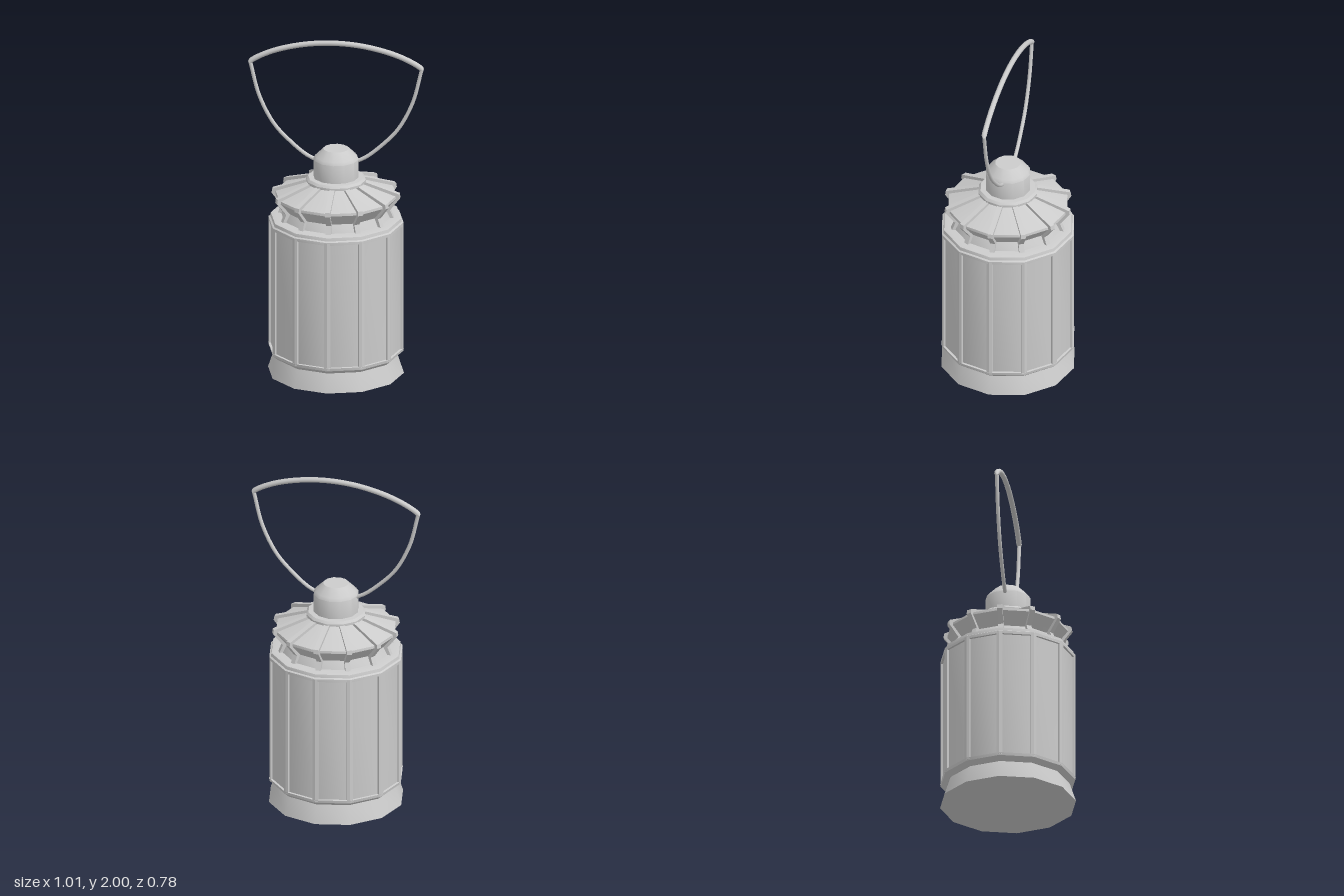
import * as THREE from 'three';
import { toCreasedNormals } from 'three/addons/utils/BufferGeometryUtils.js';

const SIDES = 12;
const material = new THREE.MeshStandardMaterial({ color: 0xcccccc });

const vec2 = (pairs) => pairs.map(([x, y]) => new THREE.Vector2(x, y));

function addMesh(parent, name, geometry) {
  const mesh = new THREE.Mesh(geometry, material);
  mesh.name = name;
  parent.add(mesh);
  return mesh;
}

// Twelve-sided turned part from [radius, height] pairs, bottom to top
function turned(parent, name, profile) {
  const geometry = new THREE.LatheGeometry(vec2(profile), SIDES);
  return addMesh(parent, name, toCreasedNormals(geometry, 0.6));
}

// Copies of one geometry around the twelve corners
function aroundCorners(parent, name, geometry) {
  const ring = new THREE.Group();
  ring.name = name + 's';
  for (let i = 0; i < SIDES; i++) {
    addMesh(ring, name, geometry).rotation.y = (i / SIDES) * Math.PI * 2;
  }
  parent.add(ring);
}

// Round rod along a path, its radius set by a function of 0..1
function rod(parent, name, points, radiusAt, steps) {
  const curve = new THREE.CatmullRomCurve3(points.map(([x, y]) => new THREE.Vector3(x, y, 0)));
  const around = 10;
  const geometry = new THREE.TubeGeometry(curve, steps, 1, around);
  const position = geometry.attributes.position;
  const v = new THREE.Vector3();
  for (let i = 0; i <= steps; i++) {
    const centre = curve.getPointAt(i / steps);
    for (let j = 0; j <= around; j++) {
      const k = i * (around + 1) + j;
      v.fromBufferAttribute(position, k).sub(centre).multiplyScalar(radiusAt(i / steps)).add(centre);
      position.setXYZ(k, v.x, v.y, v.z);
    }
  }
  return addMesh(parent, name, geometry);
}

export function createModel() {
  const lantern = new THREE.Group();
  lantern.name = 'lantern';

  // Flared foot and lower rim
  turned(lantern, 'base', [[0, 0], [0.39, 0], [0.352, 0.115], [0.3, 0.115]]);
  turned(lantern, 'lowerRim', [[0.34, 0.11], [0.358, 0.11], [0.386, 0.133], [0.389, 0.15], [0.365, 0.152]]);

  // Recessed panels with a bar at each corner
  turned(lantern, 'panels', [[0.376, 0.14], [0.376, 0.91]]);
  const fold = 0.017 * Math.tan(Math.PI / SIDES);
  const barShape = new THREE.Shape(vec2([
    [0, -0.388], [0.017, -0.388 + fold], [0.017, -0.355], [-0.017, -0.355], [-0.017, -0.388 + fold],
  ]));
  const bar = new THREE.ExtrudeGeometry(barShape, { depth: 0.77, bevelEnabled: false });
  bar.rotateX(-Math.PI / 2).translate(0, 0.14, 0);
  aroundCorners(lantern, 'cornerBar', bar);

  // Upper rim with a stepped shoulder
  turned(lantern, 'upperRim', [
    [0.365, 0.895], [0.388, 0.897], [0.388, 0.914], [0.378, 0.92], [0.374, 0.938], [0.35, 0.943], [0.28, 0.943],
  ]);

  // Roof with overhanging eave and pinched waist
  turned(lantern, 'roof', [
    [0.32, 0.935], [0.292, 0.99], [0.35, 1.06], [0.348, 1.075], [0.15, 1.145],
  ]);

  // Raised ribs following the roof profile
  const ribShape = new THREE.Shape(vec2([
    [0.28, 0.935], [0.335, 0.935], [0.312, 0.99], [0.368, 1.063], [0.364, 1.088],
    [0.15, 1.16], [0.14, 1.12], [0.32, 1.055], [0.27, 0.99],
  ]));
  const rib = new THREE.ExtrudeGeometry(ribShape, { depth: 0.03, bevelEnabled: false });
  rib.translate(0, 0, -0.015);
  aroundCorners(lantern, 'roofRib', rib);

  // Collar and capped neck
  turned(lantern, 'collar', [[0.14, 1.14], [0.172, 1.148], [0.172, 1.162], [0.16, 1.175], [0.12, 1.177]]);
  turned(lantern, 'neck', [[0.13, 1.165], [0.13, 1.285], [0.118, 1.302], [0.073, 1.346], [0, 1.346]]);

  // Carrying handle: two wires and a thicker arched grip
  const handle = new THREE.Group();
  handle.name = 'handle';
  for (const side of [1, -1]) {
    const path = [[0.115, 1.272], [0.17, 1.3], [0.255, 1.37], [0.355, 1.478], [0.44, 1.645], [0.491, 1.845]];
    rod(handle, side > 0 ? 'leftWire' : 'rightWire', path.map(([x, y]) => [x * side, y]), () => 0.011, 24);
  }
  const gripRadius = (t) => {
    const end = Math.min(t, 1 - t);
    return 0.0155 * Math.sqrt(Math.min(1, end / 0.02));
  };
  rod(handle, 'grip', [
    [-0.502, 1.838], [-0.48, 1.862], [-0.36, 1.922], [-0.18, 1.969], [0, 1.984],
    [0.18, 1.969], [0.36, 1.922], [0.48, 1.862], [0.502, 1.838],
  ], gripRadius, 100);
  lantern.add(handle);

  return lantern;
}
